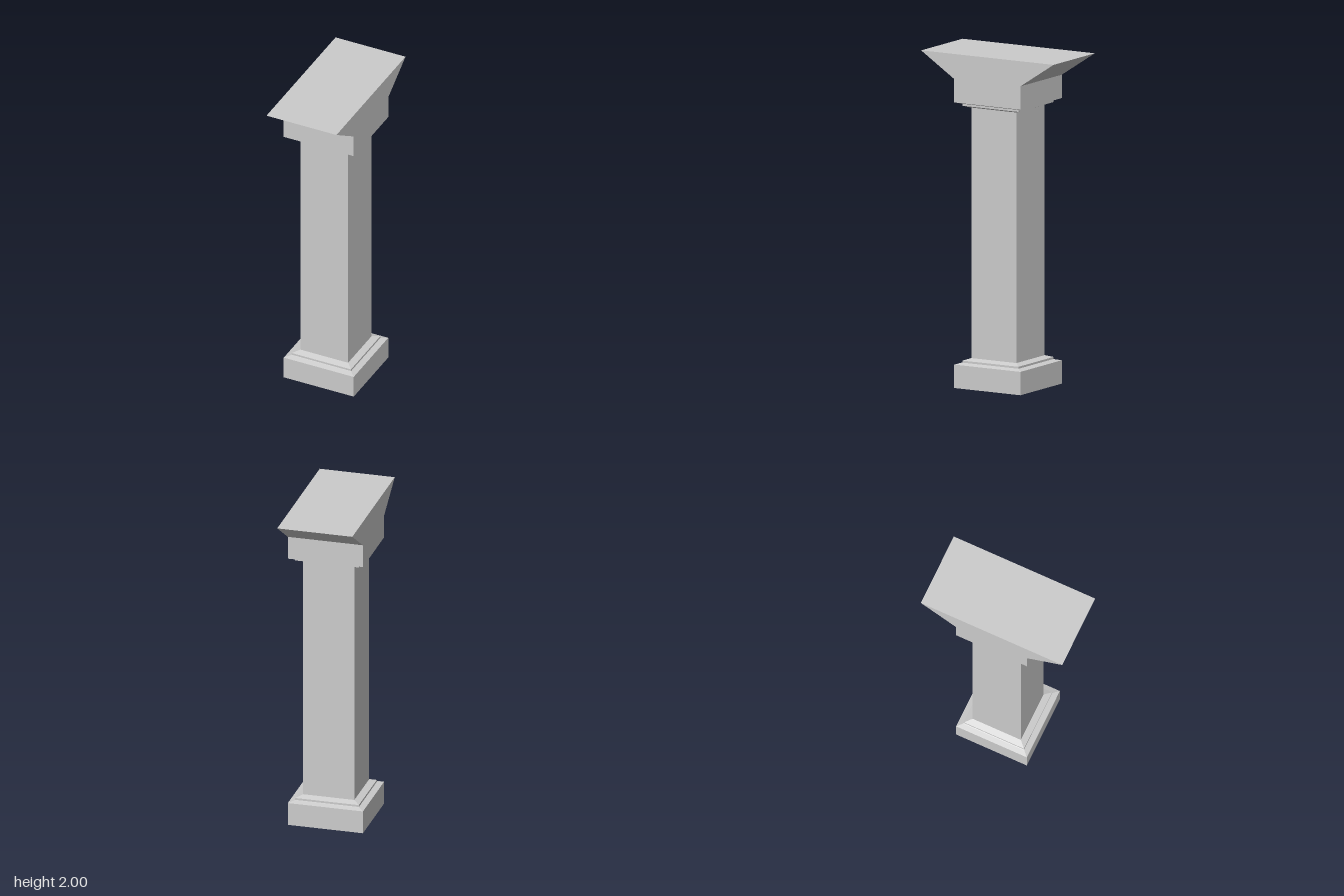
import * as THREE from 'three';

const HEIGHT = 2;
const PLINTH = 0.23; // half widths
const STEP = 0.195;
const SHAFT = 0.157;

// Square section swept from a profile of [half width, y], bottom to top
function squareLathe(name, profile, material) {
  const points = profile.map(([half, y]) => new THREE.Vector2(half * Math.SQRT2, y));
  const geometry = new THREE.LatheGeometry(points, 4, Math.PI / 4).toNonIndexed();
  geometry.computeVertexNormals();
  const mesh = new THREE.Mesh(geometry, material);
  mesh.name = name;
  return mesh;
}

export function createModel() {
  const group = new THREE.Group();
  group.name = 'column';
  const material = new THREE.MeshStandardMaterial({ color: 0xcccccc, flatShading: true });

  // Stepped moulding between block and shaft, shared by both ends
  const moulding = [[PLINTH, 0.14], [0.2, 0.148], [STEP, 0.15], [STEP, 0.162], [SHAFT, 0.175]];
  const top = 1.85;
  const flipped = moulding.map(([half, y]) => [half, top - y]).reverse();

  group.add(
    squareLathe('plinth', [[0, 0], [PLINTH, 0], moulding[0]], material),
    squareLathe('baseMoulding', moulding, material),
    squareLathe('shaft', [moulding.at(-1), flipped[0]], material),
    squareLathe('capitalMoulding', flipped, material),
    squareLathe('capitalBlock', [flipped.at(-1), [PLINTH, top]], material),
  );

  // Bracket flaring to front and back
  const shape = new THREE.Shape([
    new THREE.Vector2(-PLINTH, top),
    new THREE.Vector2(PLINTH, top),
    new THREE.Vector2(2 * PLINTH, HEIGHT),
    new THREE.Vector2(-2 * PLINTH, HEIGHT),
  ]);
  const flare = new THREE.ExtrudeGeometry(shape, { depth: 2 * PLINTH, bevelEnabled: false });
  flare.translate(0, 0, -PLINTH).rotateY(Math.PI / 2);
  const bracket = new THREE.Mesh(flare, material);
  bracket.name = 'bracket';
  group.add(bracket);

  return group;
}
